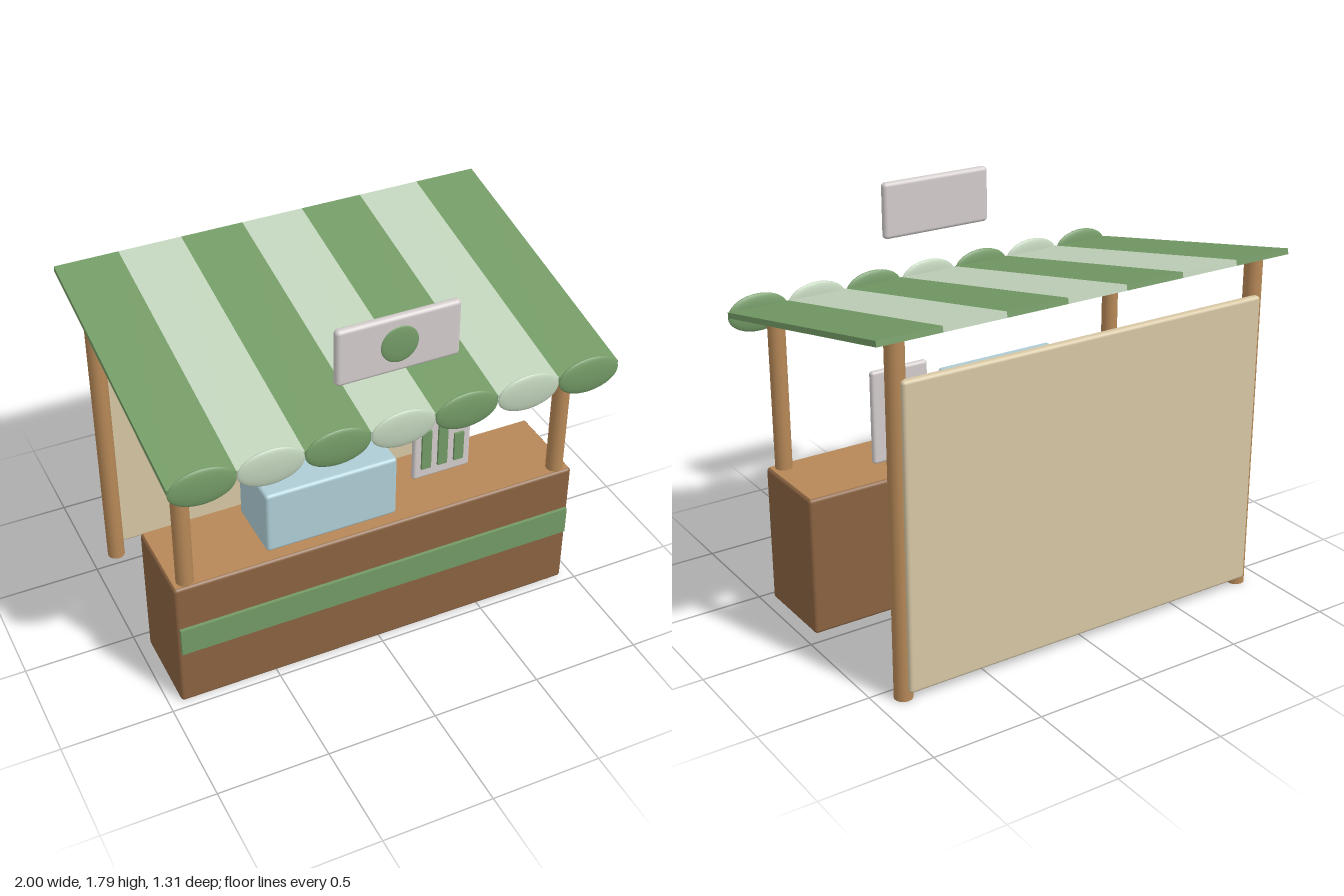
import * as THREE from 'three';
import { RoundedBoxGeometry } from 'three/addons/geometries/RoundedBoxGeometry.js';

function mat(name, color) {
  const m = new THREE.MeshStandardMaterial({ color });
  m.name = name;
  return m;
}

export function createModel() {
  const green = mat('leaf green', 0x739a66);
  const pale = mat('pale green', 0xc0d2ba);
  const brown = mat('dark wood', 0x8a6240);
  const tan = mat('light wood', 0xb68857);
  const cream = mat('cream', 0xd6c6a4);
  const blue = mat('pale blue', 0xaecdd6);
  const grey = mat('light grey', 0xd2cccb);

  const stall = new THREE.Group();
  stall.name = 'marketStall';

  function add(name, geometry, material, x, y, z, parent = stall) {
    const mesh = new THREE.Mesh(geometry, material);
    mesh.name = name;
    mesh.position.set(x, y, z);
    parent.add(mesh);
    return mesh;
  }
  const box = (w, h, d) => new THREE.BoxGeometry(w, h, d);
  const rounded = (w, h, d, r) => new RoundedBoxGeometry(w, h, d, 3, r);

  // Counter with a lighter top and a painted front band
  add('counter', rounded(1.89, 0.64, 0.405, 0.016), brown, 0, 0.32, 0.2625);
  add('counterTop', box(1.87, 0.006, 0.385), tan, 0, 0.639, 0.2625);
  add('counterBand', box(1.865, 0.135, 0.02), green, 0, 0.355, 0.47);

  // Four posts, the rear pair taller
  for (const x of [-0.88, 0.88]) {
    add('frontPost', new THREE.CylinderGeometry(0.038, 0.038, 1.31, 20), tan, x, 0.655, 0.42);
    add('backPost', new THREE.CylinderGeometry(0.04, 0.04, 1.545, 20), tan, x, 0.7725, -0.57);
  }

  // Back wall
  add('backWall', rounded(1.76, 1.35, 0.04, 0.015), cream, 0, 0.715, -0.61);

  // Sloping striped roof and its scalloped front edge
  const count = 7;
  const step = 2 / count;
  const roof = new THREE.Group();
  roof.name = 'roof';
  roof.position.set(0, 1.437, -0.008);
  roof.rotation.x = 0.208;
  stall.add(roof);
  const scallop = new THREE.SphereGeometry(1, 28, 18);
  scallop.scale(step / 2, 0.085, 0.018);
  for (let i = 0; i < count; i++) {
    const x = -1 + step * (i + 0.5);
    const colour = i % 2 ? pale : green;
    add('roofStripe', box(step, 0.025, 1.31), colour, x, 0, 0, roof);
    add('scallop', scallop, colour, x, 1.288, 0.637);
  }

  // Hanging sign with a round emblem
  add('sign', rounded(0.54, 0.255, 0.04, 0.018), grey, 0, 1.658, 0.566);
  const emblem = new THREE.SphereGeometry(0.082, 28, 18);
  emblem.scale(1, 1, 0.12);
  add('signDisc', emblem, green, 0, 1.66, 0.586);

  // Display case on the counter
  add('displayCase', rounded(0.605, 0.298, 0.295, 0.016), blue, -0.203, 0.791, 0.262);

  // Standing board with three bars
  add('board', rounded(0.28, 0.432, 0.032, 0.014), grey, 0.405, 0.859, 0.23);
  [0.2, 0.3, 0.145].forEach((h, i) => {
    add('boardBar', box(0.046, h, 0.014), green, 0.323 + i * 0.08, 0.7 + h / 2, 0.25);
  });

  return stall;
}
